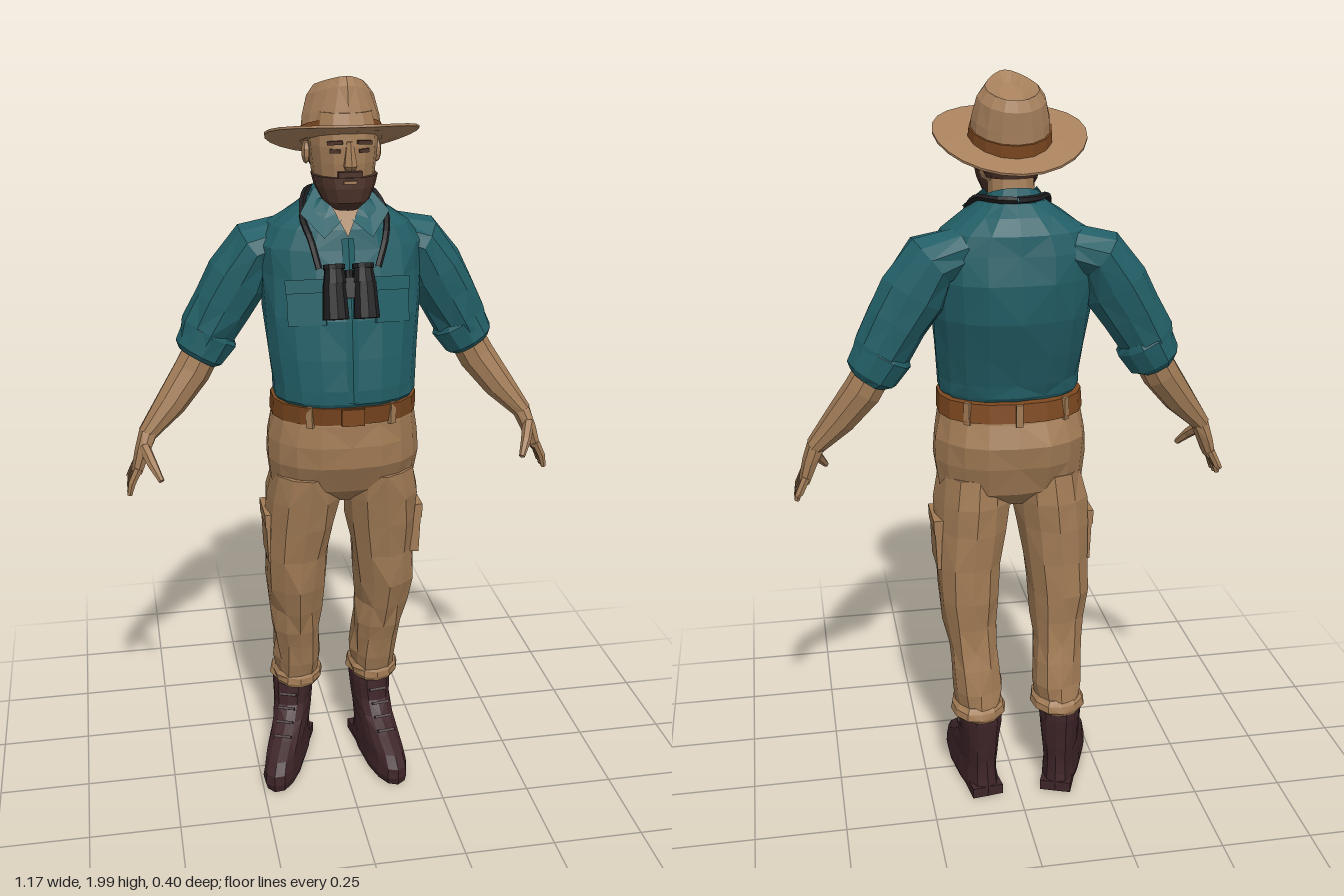
import * as THREE from 'three';

const flat = (name, color) => Object.assign(new THREE.MeshStandardMaterial({ color }), { name });
const V = (x, y, z) => new THREE.Vector3(x, y, z);
const UP = V(0, 1, 0);

// Repeatable crumple value between -1 and 1
const crumple = (i, j) => {
  const s = Math.sin(i * 12.99 + j * 78.23 + 3.1) * 43758.5;
  return (s - Math.floor(s)) * 2 - 1;
};

// Skin over oval sections [x, y, z, sideRadius, depthRadius].
// dir fixes the section plane; without it the sections follow the path.
function loft(sections, { n = 12, p = 2, dir = null, rough = 0, warp = null } = {}) {
  const centres = sections.map(s => V(s[0], s[1], s[2]));
  const pos = [], index = [], last = sections.length - 1;
  sections.forEach((s, i) => {
    const d = dir ? dir.clone().normalize()
      : centres[Math.min(i + 1, last)].clone().sub(centres[Math.max(i - 1, 0)]).normalize();
    const w = V(0, 0, 1).addScaledVector(d, -d.z).normalize();
    const t = d.clone().cross(w);
    for (let j = 0; j < n; j++) {
      const a = (j / n) * Math.PI * 2, e = 2 / p;
      const c = Math.cos(a), q = Math.sin(a);
      const k = rough * crumple(i, j);
      const v = centres[i].clone()
        .addScaledVector(w, Math.sign(c) * Math.abs(c) ** e * (s[4] + k))
        .addScaledVector(t, Math.sign(q) * Math.abs(q) ** e * (s[3] + k));
      if (warp) warp(v);
      pos.push(v.x, v.y, v.z);
    }
  });
  for (let i = 0; i < last; i++) for (let j = 0; j < n; j++) {
    const a = i * n + j, b = i * n + (j + 1) % n;
    if ((i + j) % 2) index.push(a, b, b + n, a, b + n, a + n);
    else index.push(a, b, a + n, b, b + n, a + n);
  }
  // End caps
  const base = pos.length / 3;
  [0, last].forEach((i, k) => {
    const c = centres[i].clone();
    if (warp) warp(c);
    pos.push(c.x, c.y, c.z);
    for (let j = 0; j < n; j++) {
      const a = i * n + j, b = i * n + (j + 1) % n;
      index.push(base + k, ...(k ? [a, b] : [b, a]));
    }
  });
  const g = new THREE.BufferGeometry();
  g.setAttribute('position', new THREE.Float32BufferAttribute(pos, 3));
  g.setIndex(index);
  return g;
}

function add(parent, name, geo, mat, at = [0, 0, 0], rot = [0, 0, 0]) {
  const g = geo.index ? geo.toNonIndexed() : geo;
  g.computeVertexNormals();
  const m = new THREE.Mesh(g, mat);
  m.name = name;
  m.position.set(...at);
  m.rotation.set(...rot);
  parent.add(m);
  return m;
}

// Thin plate from a few corners
function plate(...corners) {
  const g = new THREE.BufferGeometry();
  g.setAttribute('position', new THREE.Float32BufferAttribute(corners.flat(), 3));
  g.setIndex(corners.length === 4 ? [0, 1, 2, 0, 2, 3] : [0, 1, 2]);
  return g;
}

const box = (x, y, z) => new THREE.BoxGeometry(x, y, z);
const group = (parent, name) => {
  const g = new THREE.Group();
  g.name = name;
  parent.add(g);
  return g;
};

export function createModel() {
  const skin = flat('skin', 0xa37d58), hatFelt = flat('hat felt', 0xa8815d);
  const khaki = flat('khaki', 0xa17b55), shirt = flat('shirt', 0x225e66);
  const leather = flat('leather', 0x7c4820), bootLeather = flat('boot leather', 0x3d2428);
  const black = flat('black', 0x1d1d1f), hair = flat('hair', 0x4d332a);
  shirt.side = THREE.DoubleSide;
  const man = new THREE.Group();
  man.name = 'explorer';

  // Shirt body, placket and open neck
  add(man, 'shirtBody', loft([
    [0, 1.16, .02, .17, .13], [0, 1.185, .022, .187, .145], [0, 1.22, .018, .19, .15],
    [0, 1.3, 0, .2, .156], [0, 1.4, -.025, .207, .166], [0, 1.5, -.043, .21, .154],
    [0, 1.57, -.047, .215, .138], [0, 1.62, -.05, .185, .126], [0, 1.66, -.045, .125, .105],
    [0, 1.69, -.04, .08, .075]], { n: 18, p: 2.3, dir: UP, rough: .004 }), shirt);
  add(man, 'placket', loft([[0, 1.19, .166, .016, .008], [0, 1.3, .156, .016, .008],
    [0, 1.4, .142, .016, .008], [0, 1.5, .112, .016, .008], [0, 1.6, .084, .016, .008]], { n: 4 }), shirt);
  add(man, 'openNeck', plate([-.045, 1.695, .045], [0, 1.605, .092], [.045, 1.695, .045]), skin);
  add(man, 'collar', loft([[0, 1.66, -.04, .092, .088], [0, 1.70, -.045, .072, .07]],
    { n: 14, dir: V(0, .9, .4) }), shirt);

  // Belt, buckle and loops
  add(man, 'belt', loft([[0, 1.125, .003, .196, .153], [0, 1.175, .012, .194, .155]],
    { n: 18, p: 2.3, dir: UP }), leather);
  add(man, 'buckle', box(.06, .045, .012), leather, [0, 1.15, .166]);
  [-.6, .6, 2.4, Math.PI, -2.4].forEach(a => add(man, 'beltLoop', box(.018, .06, .012), khaki,
    [.192 * Math.sin(a), 1.148, .005 + .16 * Math.cos(a)], [0, a, 0]));

  // Trouser seat
  add(man, 'trouserSeat', loft([
    [0, .87, -.015, .1, .07], [0, .92, -.01, .195, .125], [0, 1, -.003, .207, .158],
    [0, 1.06, -.005, .206, .163], [0, 1.12, .003, .192, .15], [0, 1.16, .005, .183, .143]],
  { n: 18, p: 2.3, dir: UP, rough: .004 }), khaki);

  for (const s of [1, -1]) {
    const side = group(man, s > 0 ? 'leftSide' : 'rightSide');
    const put = (list) => list.map(([x, ...r]) => [x * s, ...r]);

    // Trouser leg, turned-up cuff and thigh pocket
    const stray = s > 0 ? 0 : .017;
    const leg = list => put(list.map(([x, y, ...r]) => [x + stray * (1 - y), y, ...r]));
    add(side, 'trouserLeg', loft(leg([
      [.108, .27, -.093, .062, .08], [.108, .33, -.08, .066, .085], [.112, .4, -.067, .068, .088],
      [.116, .45, -.056, .07, .09], [.12, .52, -.043, .073, .094], [.124, .6, -.032, .081, .107],
      [.12, .7, -.025, .09, .114], [.112, .8, -.02, .099, .125], [.106, .88, -.012, .102, .134],
      [.1, .96, 0, .09, .13]]), { n: 12, p: 2.2, dir: UP, rough: .007 }), khaki);
    add(side, 'trouserCuff', loft(leg([[.108, .25, -.094, .068, .086], [.108, .262, -.095, .076, .093],
      [.108, .28, -.093, .074, .091], [.108, .292, -.09, .062, .08]]), { n: 12, dir: UP, rough: .004 }), khaki);
    add(side, 'thighPocket', box(.036, .13, .12), khaki, [s * .197, .755, -.02], [0, 0, s * -.04]);
    add(side, 'thighPocketFlap', box(.04, .04, .126), khaki, [s * .2, .815, -.02], [0, 0, s * -.04]);

    // Boot, toe turned outward
    const boot = group(side, 'boot');
    boot.position.set(s > 0 ? .1 : -.128, 0, s > 0 ? -.095 : -.108);
    boot.rotation.y = s > 0 ? .14 : -.36;
    const span = [[0, -.07, .262, .05], [.022, -.074, .268, .054], [.05, -.068, .264, .052],
      [.08, -.064, .235, .05], [.11, -.062, .17, .05], [.14, -.062, .115, .051],
      [.18, -.066, .085, .053], [.23, -.07, .075, .058], [.275, -.068, .07, .056]];
    add(boot, 'bootUpper', loft(span.map(([y, a, b, r]) => [0, y, (a + b) / 2, r, (b - a) / 2]),
      { n: 14, p: 2.5, dir: UP, rough: .002 }), bootLeather);
    add(boot, 'bootHeel', box(.088, .03, .08), bootLeather, [0, .015, -.03]);
    for (let i = 0; i < 4; i++) add(boot, 'lace', box(.05, .008, .012), bootLeather,
      [0, .12 + i * .032, .152 - i * .024 + (i ? 0 : .004)], [-.6, 0, 0]);

    // Sleeve with rolled end
    add(side, 'sleeve', loft(put([
      [.13, 1.575, -.08, .06, .08], [.215, 1.55, -.088, .072, .095], [.262, 1.47, -.092, .088, .088],
      [.305, 1.4, -.095, .082, .08], [.345, 1.33, -.095, .074, .072], [.37, 1.28, -.092, .06, .06]]),
    { n: 11, rough: .005 }), shirt);
    add(side, 'rolledCuff', loft(put([[.332, 1.335, -.095, .066, .066], [.34, 1.322, -.095, .078, .074],
      [.372, 1.268, -.092, .072, .068], [.38, 1.255, -.09, .055, .055]]), { n: 11, rough: .003 }), shirt);

    // Forearm, palm, fingers and thumb
    add(side, 'forearm', loft(put([[.35, 1.3, -.092, .05, .05], [.395, 1.22, -.084, .051, .049],
      [.455, 1.14, -.065, .043, .042], [.525, 1.06, -.046, .025, .033]]), { n: 9 }), skin);
    add(side, 'palm', loft(put([[.52, 1.066, -.047, .025, .033], [.538, 1.02, -.036, .021, .043],
      [.556, .965, -.033, .015, .043]]), { n: 8, p: 2.5 }), skin);
    for (let i = 0; i < 4; i++) {
      const z = -.066 + i * .022, tip = .905 + (i === 0 ? .025 : i === 1 ? .005 : 0);
      add(side, 'finger', loft(put([[.553, .98, z, .012, .012], [.572, .94, z * 1.08, .011, .011],
        [.58, tip, z * 1.12, .007, .007]]), { n: 6 }), skin);
    }
    add(side, 'thumb', loft(put([[.533, 1.035, -.012, .016, .02], [.515, 1.0, .03, .014, .014],
      [.495, .965, .062, .008, .009]]), { n: 6 }), skin);

    // Collar flap, chest pocket and strap
    add(side, 'collarFlap', plate([s * .068, 1.715, -.02], [s * .012, 1.645, .072],
      [s * .062, 1.605, .1], [s * .115, 1.66, .045]), shirt);
    add(side, 'chestPocket', box(.1, .11, .02), shirt, [s * .108, 1.44, .102], [-.26, s * .38, 0]);
    add(side, 'chestPocketFlap', box(.105, .035, .026), shirt, [s * .108, 1.483, .092], [-.26, s * .38, 0]);
    const strap = new THREE.CatmullRomCurve3([V(s * .075 - .006, 1.535, .13), V(s * .095, 1.6, .092),
      V(s * .108, 1.648, .035), V(s * .09, 1.695, -.04), V(s * .05, 1.7, -.105), V(0, 1.7, -.122)]);
    add(side, 'neckStrap', new THREE.TubeGeometry(strap, 16, .009, 5), black);

    // Ear, eye and brow
    add(side, 'ear', new THREE.SphereGeometry(.026, 6, 5).scale(.45, 1.15, .75), skin, [s * .091, 1.805, -.005]);
    add(side, 'eye', box(.026, .009, .008), hair, [s * .036, 1.822, .108], [0, s * .3, 0]);
    add(side, 'brow', box(.038, .009, .009), hair, [s * .037, 1.842, .109], [0, s * .3, s * -.08]);
  }

  // Head and neck
  add(man, 'neck', loft([[0, 1.6, -.04, .07, .075], [0, 1.67, -.035, .06, .066], [0, 1.76, -.02, .06, .066]],
    { n: 12, dir: UP }), skin);
  add(man, 'head', loft([[0, 1.685, .05, .035, .04], [0, 1.71, .03, .06, .075], [0, 1.75, .013, .078, .096],
    [0, 1.79, .01, .083, .105], [0, 1.83, .01, .087, .106], [0, 1.87, .005, .087, .106],
    [0, 1.91, 0, .078, .095]], { n: 14, p: 2.15, dir: UP }), skin);
  add(man, 'nose', loft([[0, 1.776, .112, .014, .018], [0, 1.787, .115, .018, .026],
    [0, 1.845, .108, .009, .012]], { n: 6, dir: UP }), skin);
  add(man, 'beard', loft([[0, 1.672, .06, .03, .032], [0, 1.695, .045, .06, .072], [0, 1.73, .034, .077, .088],
    [0, 1.757, .03, .084, .09]], { n: 14, p: 2.15, dir: UP }), hair);
  add(man, 'moustache', box(.06, .014, .018), hair, [0, 1.766, .116]);
  add(man, 'lips', box(.034, .007, .008), skin, [0, 1.747, .121]);
  add(man, 'backHair', loft([[0, 1.745, -.028, .066, .06], [0, 1.78, -.03, .083, .071],
    [0, 1.83, -.03, .091, .074], [0, 1.875, -.03, .09, .074]], { n: 14, dir: UP }), hair);

  // Wide hat, tipped back
  const hat = group(man, 'hat');
  hat.position.set(0, 1.834, 0);
  hat.rotation.x = -.3;
  add(hat, 'brim', loft([[0, -.004, -.01, .09, .1], [0, -.006, 0, .15, .16], [0, -.004, 0, .195, .204],
    [0, .002, 0, .195, .204], [0, .004, 0, .15, .16], [0, .006, -.01, .09, .1]],
  { n: 24, dir: UP, warp: v => { v.y += .55 * v.x * v.x; } }), hatFelt);
  const pinch = v => {
    const f = Math.max(0, v.z / .12) * Math.min(1, v.y / .13);
    v.x *= 1 - .5 * f;
  };
  add(hat, 'crown', loft([[0, 0, -.01, .104, .116], [0, .06, 0, .099, .112], [0, .11, .008, .088, .109],
    [0, .135, .012, .07, .095], [0, .118, .008, .03, .06]], { n: 16, dir: UP, warp: pinch }), hatFelt);
  add(hat, 'hatBand', loft([[0, .002, -.01, .108, .12], [0, .036, -.005, .105, .118]],
    { n: 16, dir: UP, warp: pinch }), leather);

  // Binoculars hanging on the chest
  const glasses = group(man, 'binoculars');
  glasses.position.set(-.007, 1.48, .153);
  glasses.rotation.x = -.32;
  for (const s of [1, -1]) {
    add(glasses, 'barrel', new THREE.CylinderGeometry(.029, .034, .09, 10), black, [s * .039, -.022, 0]);
    add(glasses, 'eyepiece', new THREE.CylinderGeometry(.024, .03, .04, 10), black, [s * .037, .043, 0]);
    add(glasses, 'eyecup', new THREE.CylinderGeometry(.028, .028, .012, 10), black, [s * .037, .064, 0]);
  }
  add(glasses, 'bridge', box(.05, .05, .022), black, [0, .01, 0]);
  add(glasses, 'focusWheel', new THREE.CylinderGeometry(.011, .011, .03, 8), black, [0, .04, 0]);
  return man;
}
